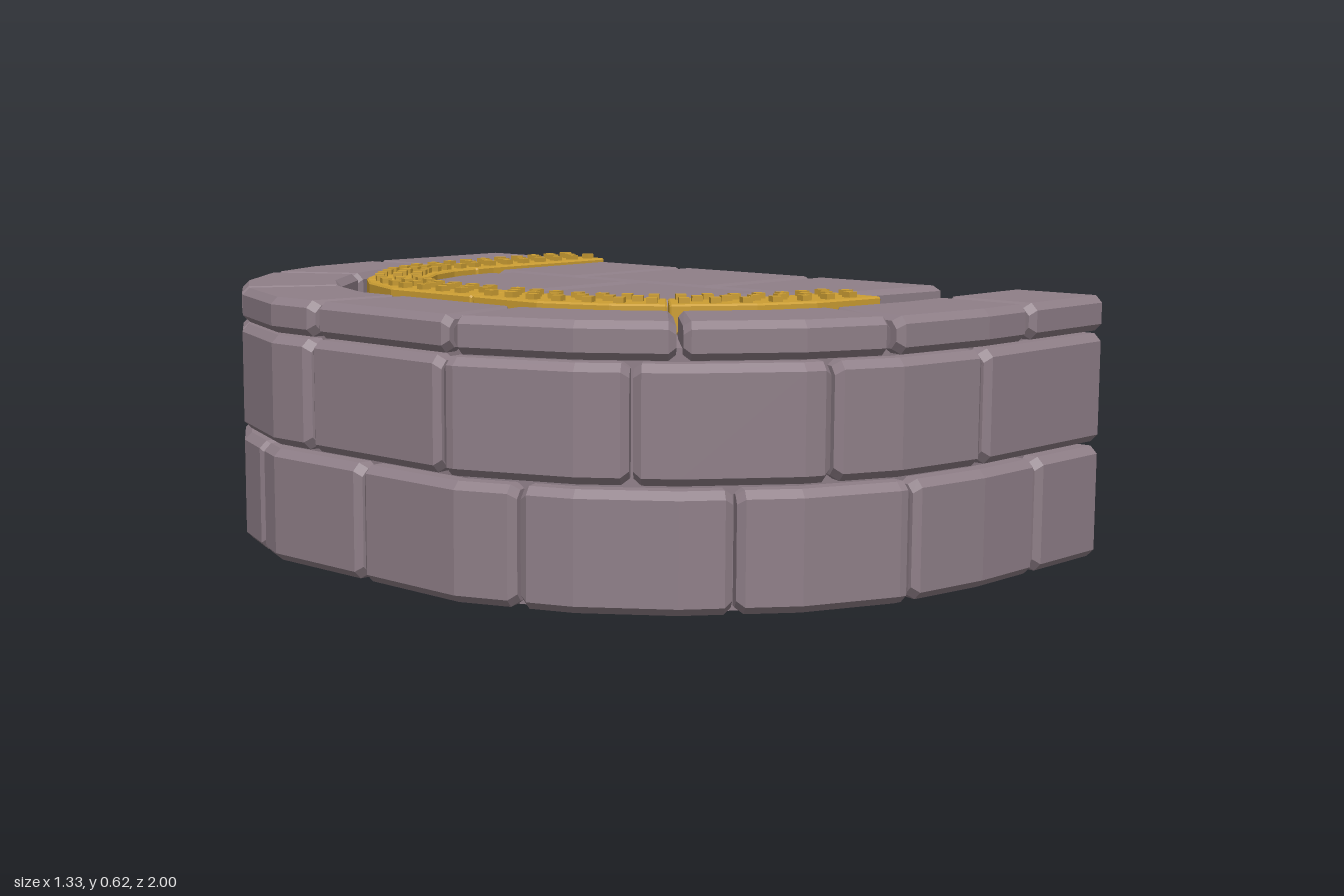
import * as THREE from 'three';

const stone = new THREE.MeshStandardMaterial({ color: 0x8f7f88, flatShading: true });
stone.name = 'mauve stone';
const gold = new THREE.MeshStandardMaterial({ color: 0xcc9e33, flatShading: true });
gold.name = 'warning yellow';

// An open path of [x, z] points, with mitred normals pointing to its inside
function makePath(points) {
  const dirs = [], lengths = [0];
  for (let i = 0; i < points.length - 1; i++) {
    const dx = points[i + 1][0] - points[i][0], dz = points[i + 1][1] - points[i][1];
    const l = Math.hypot(dx, dz);
    dirs.push([dz / l, -dx / l]);
    lengths.push(lengths[i] + l);
  }
  const normals = points.map((_, i) => {
    const a = dirs[Math.max(i - 1, 0)], b = dirs[Math.min(i, dirs.length - 1)];
    const k = 1 + a[0] * b[0] + a[1] * b[1];
    return [(a[0] + b[0]) / k, (a[1] + b[1]) / k];
  });
  const total = lengths[lengths.length - 1];
  // Point at distance t along the path, moved inwards by u
  const at = (t, u = 0) => {
    let i = 0;
    while (i < dirs.length - 1 && lengths[i + 1] < t) i++;
    const f = (t - lengths[i]) / (lengths[i + 1] - lengths[i]);
    return [0, 1].map((c) => {
      const p = points[i][c] + normals[i][c] * u, q = points[i + 1][c] + normals[i + 1][c] * u;
      return p + (q - p) * f;
    });
  };
  // Distance along the path that lies nearest to a given point
  const nearest = ([x, z]) => {
    let best = 0, min = Infinity;
    for (let t = 0; t <= total; t += 0.002) {
      const p = at(t), d = Math.hypot(p[0] - x, p[1] - z);
      if (d < min) { min = d; best = t; }
    }
    return best;
  };
  const offset = (u) => makePath(points.map((p, i) => [p[0] + normals[i][0] * u, p[1] + normals[i][1] * u]));
  return { points, lengths, total, at, nearest, offset };
}

// A chamfered block from t0 to t1 along the path, spanning insets u0..u1 and heights y0..y1
function blockGeometry(path, t0, t1, u0, u1, y0, y1, bevel, innerBevel = bevel) {
  const b = bevel, c = innerBevel;
  const profile = (s) => [
    [u0 + b + s, y0 + s], [u1 - c - s, y0 + s], [u1 - s, y0 + c + s], [u1 - s, y1 - c - s],
    [u1 - c - s, y1 - s], [u0 + b + s, y1 - s], [u0 + s, y1 - b - s], [u0 + s, y0 + b + s],
  ];
  const stations = [];
  const startBevel = t0 > 0.001 ? bevel : 0, endBevel = t1 < path.total - 0.001 ? bevel : 0;
  if (startBevel) stations.push([t0, bevel * 0.7]);
  stations.push([t0 + startBevel, 0]);
  path.lengths.forEach((t) => {
    if (t > t0 + bevel + 0.006 && t < t1 - bevel - 0.006) stations.push([t, 0]);
  });
  stations.push([t1 - endBevel, 0]);
  if (endBevel) stations.push([t1, bevel * 0.7]);

  const rings = stations.map(([t, s]) => profile(s).map(([u, y]) => {
    const [x, z] = path.at(t, u);
    return [x, y, z];
  }));
  const out = [];
  const tri = (...v) => v.forEach((p) => out.push(...p));
  for (let i = 0; i < rings.length - 1; i++) {
    for (let j = 0; j < 8; j++) {
      const k = (j + 1) % 8;
      tri(rings[i][j], rings[i][k], rings[i + 1][j]);
      tri(rings[i][k], rings[i + 1][k], rings[i + 1][j]);
    }
  }
  const first = rings[0], last = rings[rings.length - 1];
  for (let j = 1; j < 7; j++) {
    tri(first[0], first[j + 1], first[j]);
    tri(last[0], last[j], last[j + 1]);
  }
  const geometry = new THREE.BufferGeometry();
  geometry.setAttribute('position', new THREE.Float32BufferAttribute(out, 3));
  geometry.computeVertexNormals();
  return geometry;
}

// A flat slab from an [x, z] outline, with an optional chamfer
function slabGeometry(outline, y0, y1, bevel = 0) {
  const shape = new THREE.Shape(outline.map(([x, z]) => new THREE.Vector2(x, -z)));
  const geometry = new THREE.ExtrudeGeometry(shape, {
    depth: y1 - y0 - 2 * bevel, bevelEnabled: bevel > 0, bevelSegments: 1,
    bevelSize: bevel, bevelThickness: bevel, bevelOffset: -bevel,
  });
  return geometry.rotateX(-Math.PI / 2).translate(0, y0 + bevel, 0);
}

export function createModel() {
  const model = new THREE.Group();
  model.name = 'platformEnd';
  const group = (name) => {
    const g = new THREE.Group();
    g.name = name;
    model.add(g);
    return g;
  };
  const add = (parent, geometry, material, name) => {
    const mesh = new THREE.Mesh(geometry, material);
    mesh.name = name;
    parent.add(mesh);
    return mesh;
  };

  // D-shaped outline, from the back of the flat side round to the front
  const half = [[0.667, 1], [0.22, 1], [-0.03, 0.965], [-0.235, 0.875], [-0.435, 0.715], [-0.565, 0.545], [-0.667, 0.3]];
  const edge = makePath([...half.map(([x, z]) => [x, -z]), ...half.slice().reverse()]);

  // Solid core behind the blocks
  add(model, slabGeometry(edge.offset(0.05).points, 0.004, 0.545), stone, 'core');

  // Rows of blocks, split at the given points on the outline
  const row = (name, part, path, joints, end, gap, dims, material) => {
    const g = group(name);
    const cuts = [0, ...joints.map(path.nearest), end];
    for (let i = 0; i < cuts.length - 1; i++) {
      const t0 = cuts[i] + (i ? gap : 0), t1 = cuts[i + 1] - (i < cuts.length - 2 ? gap : 0);
      add(g, blockGeometry(path, t0, t1, ...dims), material, part);
    }
    return cuts;
  };
  row('lowerWall', 'wallBlock', edge,
    [[0.28, -1], [-0.1, -0.935], [-0.43, -0.72], [-0.63, -0.4], [-0.667, 0], [-0.61, 0.43], [-0.345, 0.787], [0.01, 0.97], [0.425, 1]],
    edge.total, 0.004, [0, 0.06, 0.004, 0.26, 0.017, 0.002], stone);
  row('upperWall', 'wallBlock', edge,
    [[0.11, -0.985], [-0.28, -0.84], [-0.54, -0.58], [-0.667, -0.17], [-0.665, 0.26], [-0.495, 0.637], [-0.175, 0.9], [0.215, 1]],
    edge.total, 0.004, [0, 0.06, 0.27, 0.517, 0.017, 0.002], stone);
  row('coping', 'copingStone', edge,
    [[0.22, -1], [-0.22, -0.88], [-0.56, -0.56], [-0.667, -0.15], [-0.665, 0.29], [-0.435, 0.715], [-0.05, 0.96], [0.38, 1]],
    edge.total, 0.007, [0, 0.24, 0.523, 0.603, 0.016], stone);

  // Yellow tactile strip, stopping short on the front side
  const middle = edge.offset(0.374);
  const stripEnd = middle.nearest([0.25, 0.626]);
  const cuts = row('tactileStrip', 'tactilePlate', middle,
    [[0.17, -0.626], [-0.2, -0.41], [-0.293, 0.03], [-0.18, 0.45]],
    stripEnd, 0.002, [-0.074, 0.074, 0.543, 0.609, 0.004], gold);

  // Square studs in three staggered rows
  const studs = group('studs');
  const studGeometry = new THREE.BoxGeometry(0.023, 0.016, 0.023);
  for (let i = 0; i < cuts.length - 1; i++) {
    const count = Math.floor((cuts[i + 1] - cuts[i] - 0.03) / 0.03);
    const step = (cuts[i + 1] - cuts[i]) / (count + 1);
    for (let k = 1; k <= count; k++) {
      const t = cuts[i] + k * step;
      const [ax, az] = middle.at(t, 0), [bx, bz] = middle.at(t, 0.05);
      for (const u of k % 2 ? [-0.043, 0.043] : [0]) {
        const [x, z] = middle.at(t, u);
        const stud = add(studs, studGeometry, gold, 'stud');
        stud.position.set(x, 0.613, z);
        stud.rotation.y = Math.atan2(bx - ax, bz - az);
      }
    }
  }

  // Paving inside the strip
  const paving = group('paving');
  const tiles = [
    [[0.25, -0.535], [0.655, -0.545], [0.655, -0.25], [0.25, -0.25]],
    [[0.25, -0.23], [0.655, -0.23], [0.655, 0.185], [0.25, 0.185]],
    [[0.25, 0.21], [0.655, 0.21], [0.655, 0.572], [0.25, 0.515]],
    [[-0.18, -0.035], [-0.18, -0.25], [-0.12, -0.375], [-0.02, -0.44], [0.225, -0.45], [0.225, -0.035]],
    [[-0.18, 0], [0.225, 0], [0.225, 0.395], [-0.07, 0.395], [-0.145, 0.335], [-0.18, 0.24]],
  ];
  tiles.forEach((t) => add(paving, slabGeometry(t, 0.53, 0.601, 0.013), stone, 'pavingTile'));

  // Thin filler pieces between paving and strip
  const fillers = [
    [[-0.03, -0.462], [0.225, -0.468], [0.225, -0.53], [0.1, -0.515]],
    [[-0.06, 0.42], [0.225, 0.46], [0.225, 0.515], [0.06, 0.485]],
    [[-0.207, -0.25], [-0.19, -0.25], [-0.19, 0.24], [-0.207, 0.24]],
  ];
  fillers.forEach((t) => add(paving, slabGeometry(t, 0.53, 0.595, 0.004), stone, 'fillerStone'));

  return model;
}
